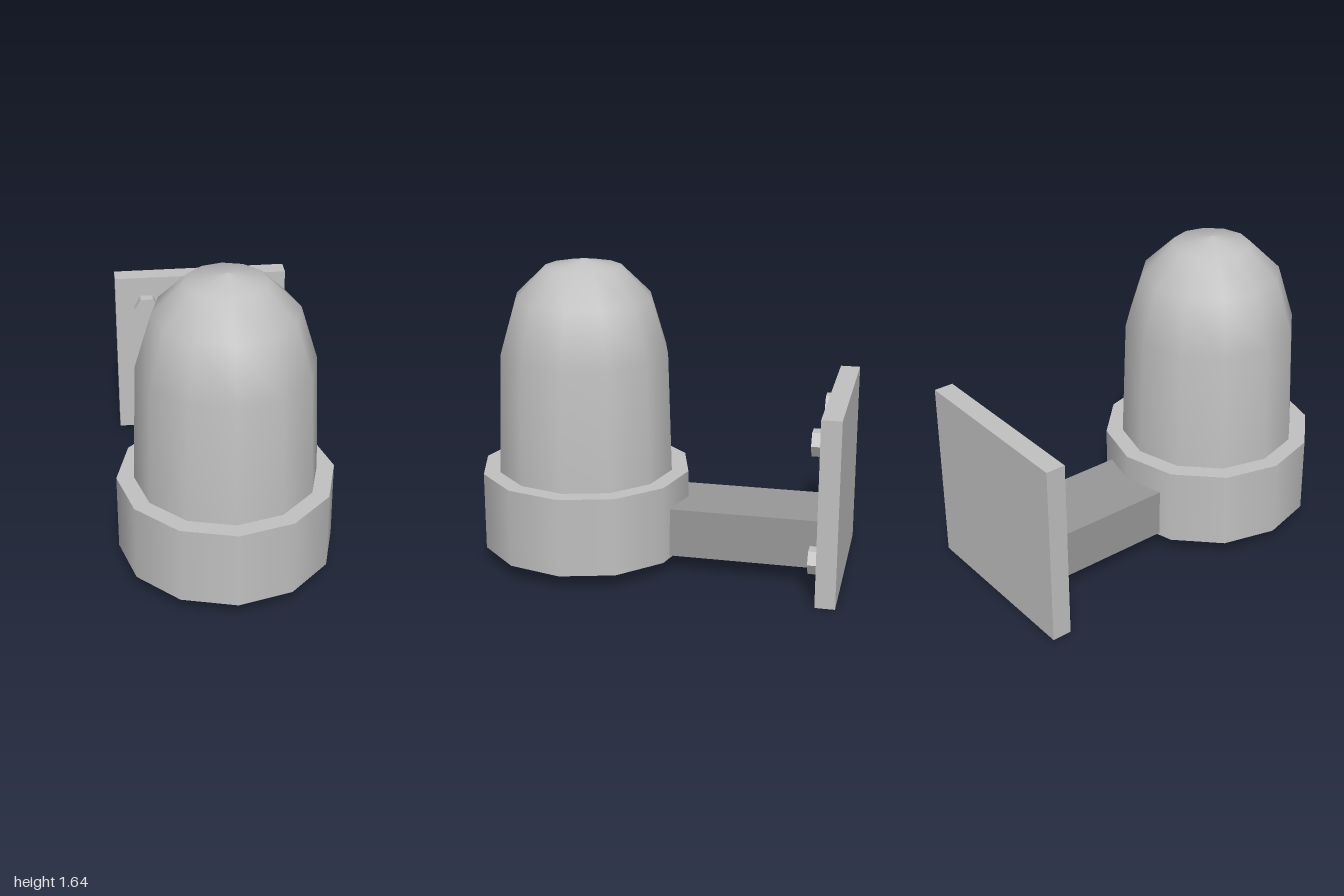
import * as THREE from 'three';

export function createModel() {
  const model = new THREE.Group();
  const lightGrey = new THREE.MeshStandardMaterial({ color: 0xc0c0c0 });
  lightGrey.name = 'lightGrey';
  const midGrey = new THREE.MeshStandardMaterial({ color: 0x989898 });
  midGrey.name = 'midGrey';

  const add = (name, geometry, material, x, y, z) => {
    const mesh = new THREE.Mesh(geometry, material);
    mesh.name = name;
    mesh.position.set(x, y, z);
    model.add(mesh);
    return mesh;
  };

  const sides = 12;
  const lampZ = 0.43;

  // Round base collar
  add('baseCollar', new THREE.CylinderGeometry(0.57, 0.57, 0.425, sides), lightGrey, 0, 0.2875, lampZ);

  // Dome: slightly tapered wall closing in a rounded cap
  const profile = [[0.48, 0.45], [0.457, 1.15], [0.37, 1.44], [0.207, 1.6], [0, 1.642]]
    .map(([r, y]) => new THREE.Vector2(r, y));
  add('dome', new THREE.LatheGeometry(profile, sides), lightGrey, 0, 0, lampZ);

  // Arm running from inside the collar to the wall plate
  add('arm', new THREE.BoxGeometry(0.425, 0.265, 1.0), midGrey, 0, 0.2225, -0.395);

  // Wall plate
  add('wallPlate', new THREE.BoxGeometry(1, 1, 0.105), lightGrey, 0, 0.5, -0.9475);

  // Hexagonal bolt heads with flats at top and bottom
  const hex = new THREE.CylinderGeometry(0.072, 0.072, 0.06, 6)
    .rotateY(Math.PI / 6)
    .rotateX(Math.PI / 2)
    .toNonIndexed();
  hex.computeVertexNormals();
  for (const x of [-0.32, 0.32]) {
    for (const y of [0.182, 0.823]) {
      const name = (y > 0.5 ? 'upper' : 'lower') + (x > 0 ? 'Left' : 'Right') + 'Bolt';
      add(name, hex, lightGrey, x, y, -0.869);
    }
  }

  return model;
}
